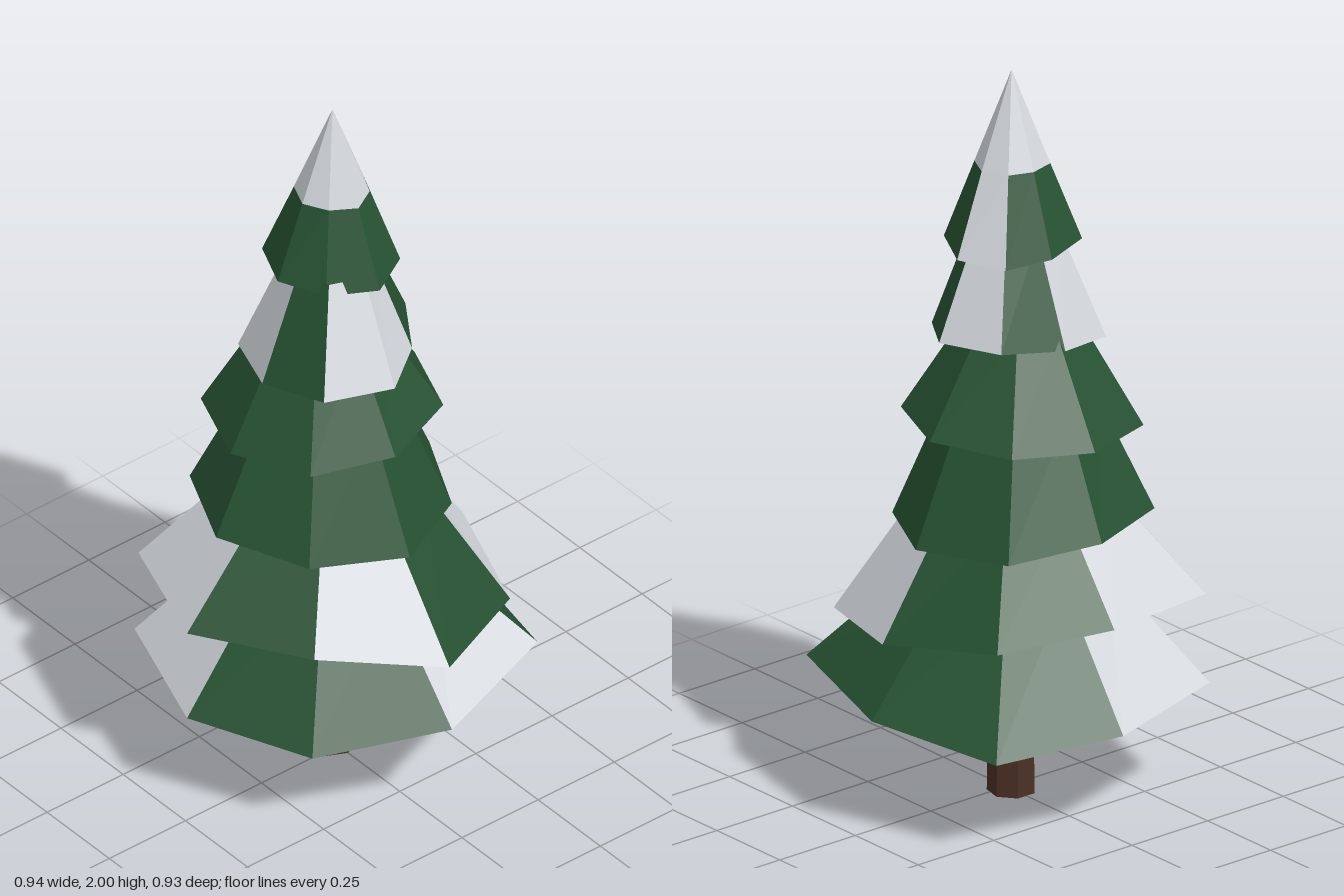
import * as THREE from 'three';

const SIDES = 8;
const TIP = [0.02, 2, -0.045];

const mat = (name, color) => {
  const m = new THREE.MeshStandardMaterial({ color, flatShading: true });
  m.name = name;
  return m;
};

// Branch tiers, bottom to top. Sides run from the left edge past the front.
// radii: rim corners; tilt: rim height waves [sideways, front-back, twist];
// shrink: upper ring relative to the rim; snow: sides covered in snow.
const TIERS = [
  { x: 0, z: -0.03, y: 0.306, top: 0.62, shrink: 0.47, tilt: [-0.01, 0.016, -0.029],
    radii: [0.47, 0.45, 0.49, 0.53, 0.47, 0.49, 0.435, 0.5], snow: [2, 6, 7] },
  { x: 0, z: -0.03, y: 0.543, top: 0.84, shrink: 0.5, tilt: [0.024, -0.028, 0.019],
    radii: [0.47, 0.4, 0.48, 0.46, 0.435, 0.46, 0.4, 0.49], snow: [1, 3, 6, 7] },
  { x: 0, z: -0.06, y: 0.783, top: 1.1, shrink: 0.58, tilt: [0.016, -0.01, 0],
    radii: [0.35, 0.34, 0.35, 0.33, 0.35, 0.36, 0.32, 0.34], snow: [] },
  { x: 0.01, z: -0.075, y: 1.045, top: 1.32, shrink: 0.48, tilt: [-0.016, 0.003, -0.006],
    radii: [0.3, 0.29, 0.295, 0.31, 0.305, 0.285, 0.29, 0.31], snow: [] },
  { x: 0, z: -0.015, y: 1.278, top: 1.56, shrink: 0.5, tilt: [-0.015, 0, 0.01],
    radii: [0.235, 0.25, 0.245, 0.2, 0.235, 0.245, 0.22, 0.245], snow: [1, 2, 4, 6, 7] },
  { x: TIP[0], z: TIP[2], y: 1.529, top: 1.745, shrink: 0.55, tilt: [0.007, 0.003, -0.009],
    radii: [0.18, 0.166, 0.19, 0.173, 0.18, 0.166, 0.16, 0.18], snow: [4] },
];

// Ring of corners around a tier's axis
const ring = ({ x, z, radii }, scale, heightAt) => radii.map((r, i) => {
  const a = (i / SIDES) * Math.PI * 2;
  return [x - r * scale * Math.cos(a), heightAt(a), z + r * scale * Math.sin(a)];
});

const lowerRing = (tier) => ring(tier, 1, (a) => tier.y
  + tier.tilt[0] * Math.cos(a) + tier.tilt[1] * Math.sin(a) + tier.tilt[2] * Math.sin(2 * a));
const upperRing = (tier) => ring(tier, tier.shrink, () => tier.top);

function facetMesh(name, triangles, material) {
  const geo = new THREE.BufferGeometry();
  geo.setAttribute('position', new THREE.Float32BufferAttribute(triangles.flat(2), 3));
  geo.computeVertexNormals();
  const mesh = new THREE.Mesh(geo, material);
  mesh.name = name;
  return mesh;
}

export function createModel() {
  const green = mat('pine green', 0x265232);
  const white = mat('snow white', 0xd5d9de);
  const brown = mat('bark brown', 0x4a2f24);
  const tree = new THREE.Group();
  tree.name = 'snowyPine';

  // Trunk
  const trunk = new THREE.Mesh(new THREE.CylinderGeometry(0.058, 0.064, 0.34, 7), brown);
  trunk.name = 'trunk';
  trunk.position.set(0, 0.17, -0.022);
  tree.add(trunk);

  // Branch tiers: sloping sides sorted by colour, plus a closed underside
  TIERS.forEach((tier, t) => {
    const low = lowerRing(tier);
    const high = upperRing(tier);
    const hub = [tier.x, tier.y, tier.z];
    const needles = [], snowy = [];
    low.forEach((corner, i) => {
      const j = (i + 1) % SIDES;
      const side = tier.snow.includes(i) ? snowy : needles;
      side.push([corner, low[j], high[j]], [corner, high[j], high[i]]);
      needles.push([hub, low[j], corner]);
    });
    const group = new THREE.Group();
    group.name = `branchTier${t + 1}`;
    group.add(facetMesh('needles', needles, green));
    if (snowy.length) group.add(facetMesh('snowPatches', snowy, white));
    tree.add(group);
  });

  // Snow cap on the tip
  const capRim = upperRing(TIERS[TIERS.length - 1]);
  const capFaces = capRim.map((corner, i) => [corner, capRim[(i + 1) % SIDES], TIP]);
  tree.add(facetMesh('snowCap', capFaces, white));
  return tree;
}
